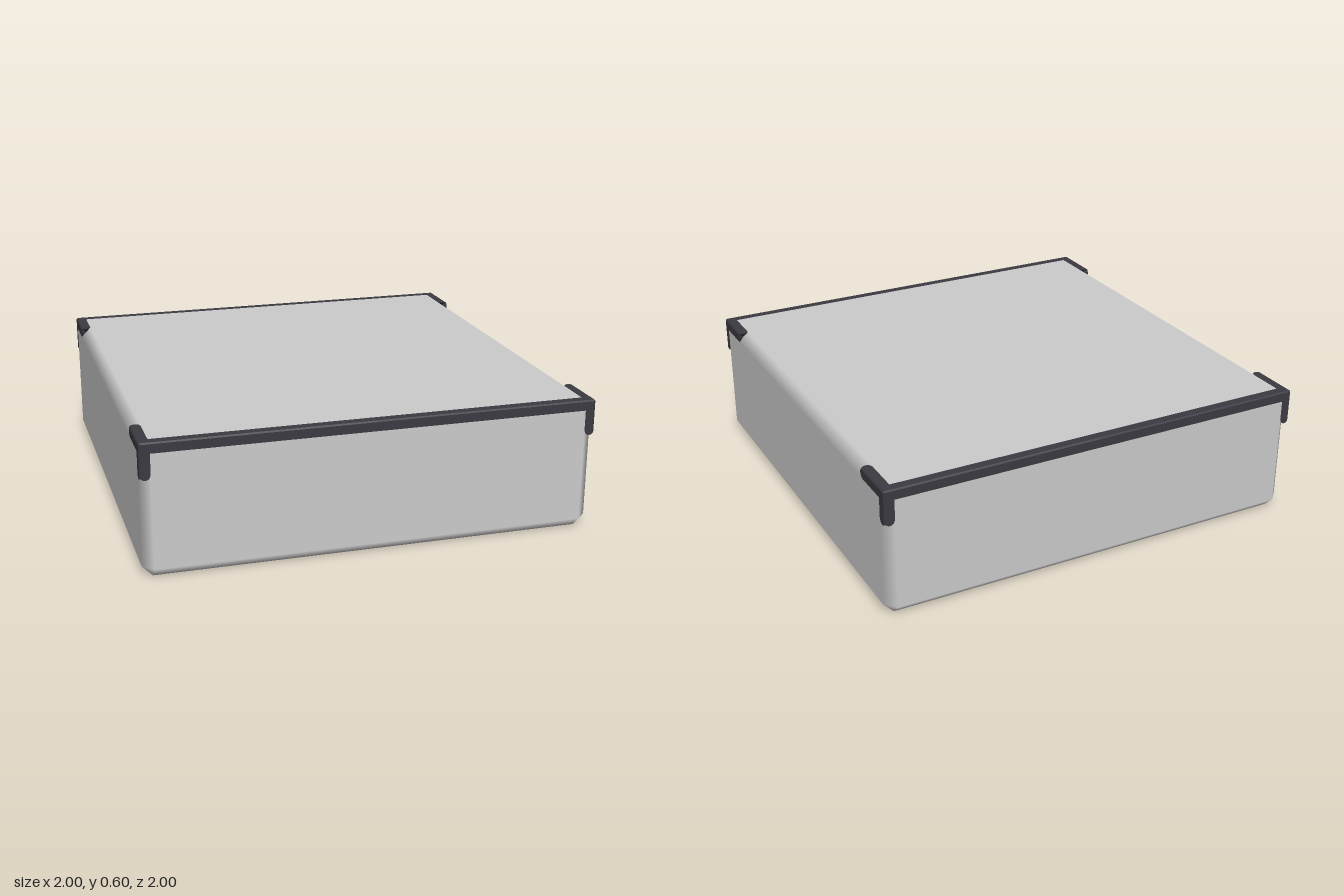
import * as THREE from 'three';
import { ConvexGeometry } from 'three/addons/geometries/ConvexGeometry.js';

const HALF = [1, 0.3, 1];   // half size of the case
const W = 0.046;            // chamfer and trim width
const B = 0.006;            // small bevel on the trim's outer edge

// Box with chamfered edges; every corner point keeps the normal of its flat face
function chamferedBox() {
  const points = [];
  for (const sx of [-1, 1]) for (const sy of [-1, 1]) for (const sz of [-1, 1])
    for (let axis = 0; axis < 3; axis++) {
      const p = [sx, sy, sz].map((s, i) => s * (HALF[i] - (i === axis ? 0 : W)));
      points.push(new THREE.Vector3(...p));
    }
  const geometry = new ConvexGeometry(points);
  const pos = geometry.attributes.position, normal = geometry.attributes.normal;
  for (let i = 0; i < pos.count; i++) {
    const p = [pos.getX(i), pos.getY(i), pos.getZ(i)];
    normal.setXYZ(i, ...p.map((c, k) => (Math.abs(c) > HALF[k] - W / 2 ? Math.sign(c) : 0)));
  }
  return geometry;
}

// One corner of the trim: three arms filling the chamfers, measured inward from the corner
function cornerTrim(sx, sz) {
  const out = [];
  const put = (p) => out.push(sx * (HALF[0] - p[0]), 2 * HALF[1] - p[1], sz * (HALF[2] - p[2]));
  const tri = (a, b, c) => [a, b, c].forEach(put);

  const arm = (axis, length, rounded) => {
    const at = (d, u, v) => {
      const p = [0, 0, 0];
      p[axis] = d;
      p[(axis + 1) % 3] = u;
      p[(axis + 2) % 3] = v;
      return p;
    };
    const r = W / 2, steps = 8, profile = [];
    for (let i = 0; i <= steps; i++) profile.push([W + (B - W) * i / steps, 0]);
    for (let i = 0; i <= steps; i++) profile.push([0, B + (W - B) * i / steps]);
    const reach = ([u, v]) => {
      const t = u + v - r;
      return rounded ? length - r + Math.sqrt(Math.max(0, r * r - t * t)) : length;
    };
    const hub = at(rounded ? length - r : length, r, r);
    for (let i = 0; i + 1 < profile.length; i++) {
      const p = profile[i], q = profile[i + 1];
      const p0 = at(B, ...p), q0 = at(B, ...q);
      const p1 = at(reach(p), ...p), q1 = at(reach(q), ...q);
      tri(p0, q0, q1);
      tri(p0, q1, p1);
      if (rounded) tri(p1, q1, hub);
    }
  };
  arm(0, HALF[0], false);   // half of the long edge bar
  arm(1, 0.16, true);       // short arm down the upright edge
  arm(2, 0.235, true);      // short arm along the side edge
  tri([0, B, B], [B, 0, B], [B, B, 0]);

  const geometry = new THREE.BufferGeometry();
  geometry.setAttribute('position', new THREE.Float32BufferAttribute(out, 3));
  geometry.computeVertexNormals();
  return geometry;
}

export function createModel() {
  const model = new THREE.Group();
  model.name = 'trimmedCase';

  const body = new THREE.Mesh(chamferedBox(), new THREE.MeshStandardMaterial({ color: 0xcccccc }));
  body.name = 'body';
  body.position.y = HALF[1];
  model.add(body);

  const dark = new THREE.MeshStandardMaterial({ color: 0x3b3a41, side: THREE.DoubleSide });
  for (const [sz, end] of [[1, 'front'], [-1, 'back']]) {
    const trim = new THREE.Group();
    trim.name = end + 'Trim';
    for (const [sx, side] of [[1, 'Left'], [-1, 'Right']]) {
      const corner = new THREE.Mesh(cornerTrim(sx, sz), dark);
      corner.name = end + side + 'CornerTrim';
      trim.add(corner);
    }
    model.add(trim);
  }
  return model;
}
